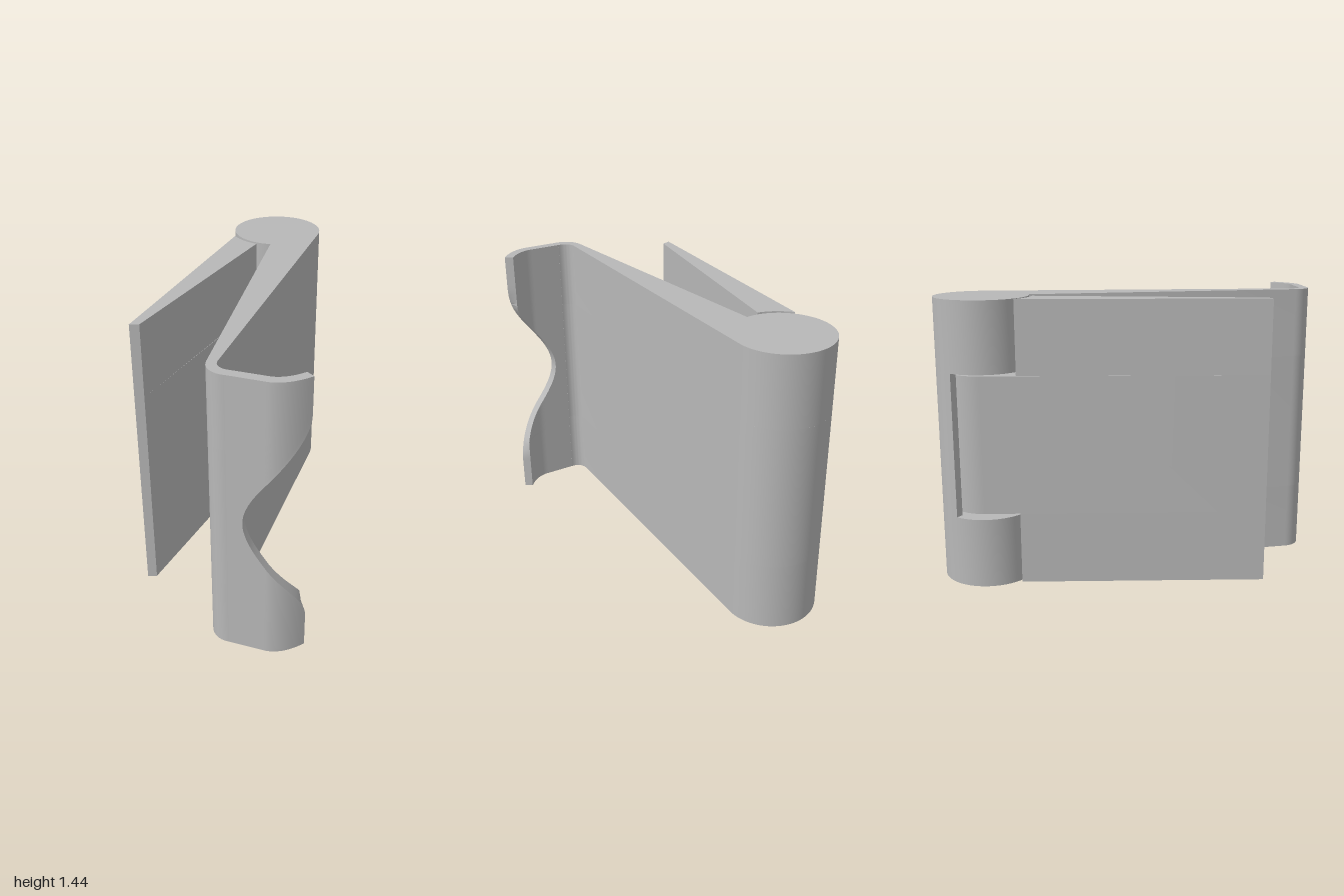
import * as THREE from 'three';
import { toCreasedNormals } from 'three/addons/utils/BufferGeometryUtils.js';

const H = 1.44;                       // overall height
const CX = -0.02, CZ = -0.765;        // hinge axis
const R = 0.235, POCKET = 0.197, KNUCKLE = 0.188;

// Points [x, z] on an arc in plan, angle measured from +x towards +z
function arc(cx, cz, r, a0, a1, n = 48) {
  return Array.from({ length: n + 1 }, (_, i) => {
    const a = a0 + (a1 - a0) * i / n;
    return [cx + r * Math.cos(a), cz + r * Math.sin(a)];
  });
}

// Upright prism with a plan outline, from y0 to y1
function prism(outline, y0, y1) {
  const shape = new THREE.Shape(outline.map(([x, z]) => new THREE.Vector2(x, -z)));
  const geo = new THREE.ExtrudeGeometry(shape, { depth: y1 - y0, bevelEnabled: false });
  geo.rotateX(-Math.PI / 2).translate(0, y0, 0);
  return toCreasedNormals(geo, 0.5);
}

// Front lip: curled plate whose free edge is cut back by a smooth wave
function lipGeometry() {
  const x0 = 0.085, rows = 72, m = 20, pos = [], idx = [];
  const zAt = (x, flat, rise, bend) =>
    x < 0.27 ? flat - rise * (0.27 - x) / 0.185 : flat - bend * (x - 0.27) ** 2;
  const outer = x => zAt(x, 0.995, 0.023, 3.1);
  const inner = x => zAt(x, 0.947, 0.022, 3.9);
  for (let j = 0; j <= rows; j++) {
    const y = H * j / rows;
    const edge = 0.155 + 0.28 * THREE.MathUtils.smoothstep(Math.abs(y - H / 2), 0, 0.54);
    const xi = Math.min(edge, 0.402);
    for (let i = 0; i < m; i++) {
      const x = x0 + (edge - x0) * i / (m - 1);
      pos.push(x, y, outer(x));
    }
    for (let i = m - 1; i >= 0; i--) {
      const x = x0 + (xi - x0) * i / (m - 1);
      pos.push(x, y, inner(x));
    }
  }
  const n = 2 * m;
  for (let j = 0; j < rows; j++) {
    for (let i = 0; i < n; i++) {
      const a = j * n + i, b = j * n + (i + 1) % n;
      idx.push(a, b, b + n, a, b + n, a + n);
    }
  }
  const top = rows * n;
  for (let i = 0; i < m - 1; i++) {
    const o = i, p = i + 1, q = n - 2 - i, r = n - 1 - i;
    idx.push(top + o, top + p, top + q, top + o, top + q, top + r);
    idx.push(o, q, p, o, r, q);
  }
  const geo = new THREE.BufferGeometry();
  geo.setAttribute('position', new THREE.Float32BufferAttribute(pos, 3));
  geo.setIndex(idx);
  return toCreasedNormals(geo, 0.5);
}

export function createModel() {
  const model = new THREE.Group();
  model.name = 'hingedClip';
  const grey = new THREE.MeshStandardMaterial({ color: 0xb8b8b8 });
  grey.name = 'grey';
  const add = (parent, name, geo) => {
    const mesh = new THREE.Mesh(geo, grey);
    mesh.name = name;
    parent.add(mesh);
  };
  const group = name => {
    const g = new THREE.Group();
    g.name = name;
    model.add(g);
    return g;
  };
  const PI = Math.PI;

  // Long leaf with its hinge barrel; the middle of the barrel is an open pocket
  const longLeaf = group('longLeaf');
  const foot = [
    ...arc(0.09, 0.865, 0.06, PI, PI / 2, 12),
    ...arc(0.085, 0.872, 0.1, PI / 2, PI, 12),
  ];
  const solid = [...arc(CX, CZ, R, 1.55, 2 * PI + 0.11, 72), ...foot];
  const open = [
    [-0.015, CZ + R],
    ...arc(CX, CZ, POCKET, 1.545, -0.75 * PI),
    ...arc(CX, CZ, R, -0.75 * PI, 0.11),
    ...foot,
  ];
  const slot0 = 0.355, slot1 = H - 0.355;
  add(longLeaf, 'lowerBarrel', prism(solid, 0, slot0));
  add(longLeaf, 'openBarrel', prism(open, slot0, slot1));
  add(longLeaf, 'upperBarrel', prism(solid, slot1, H));
  add(longLeaf, 'lip', lipGeometry());

  // Short leaf: hollowed ends clear the barrel, a knuckle sits in the pocket
  const shortLeaf = group('shortLeaf');
  const tip = [[-0.39, 0.59], [-0.435, 0.60]];
  const clear = [...tip, ...arc(CX, CZ, 0.255, 2.535, 1.848, 16)];
  const knuckle = [...tip, ...arc(CX, CZ, KNUCKLE, PI + 0.163, 2 * PI + 1.835, 64)];
  const k0 = 0.37, k1 = H - 0.37;
  add(shortLeaf, 'lowerLeaf', prism(clear, 0, k0));
  add(shortLeaf, 'knuckleLeaf', prism(knuckle, k0, k1));
  add(shortLeaf, 'upperLeaf', prism(clear, k1, H));

  return model;
}
